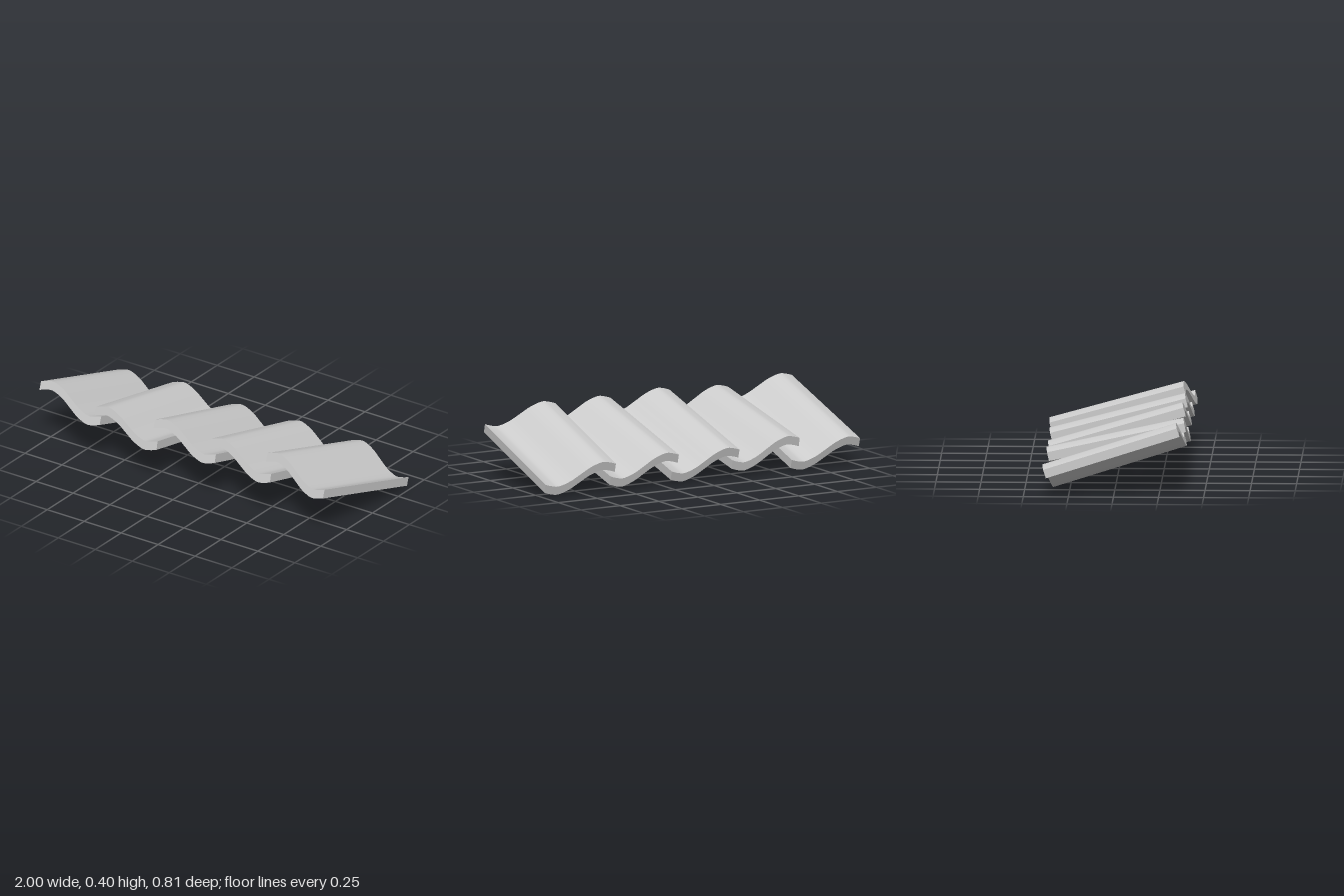
import * as THREE from 'three';
import { toCreasedNormals } from 'three/addons/utils/BufferGeometryUtils.js';

const LENGTH = 0.777;
const THICKNESS = 0.05;

// S-shaped cross-section: half the wave is given, the other half mirrors it through the centre
function tileGeometry() {
  const half = [[-0.212, 0.045], [-0.17, 0.058], [-0.125, 0.063], [-0.06, 0.039]];
  const points = [
    ...half,
    [0, 0],
    ...half.map(([x, y]) => [-x, -y]).reverse(),
  ].map(([x, y]) => new THREE.Vector2(x, y));
  const wave = new THREE.SplineCurve(points).getPoints(40);
  const offset = (dy) => wave.map((p) => new THREE.Vector2(p.x, p.y + dy));

  const shape = new THREE.Shape([
    ...offset(-THICKNESS / 2),
    ...offset(THICKNESS / 2).reverse(),
  ]);
  const geometry = new THREE.ExtrudeGeometry(shape, { depth: LENGTH, bevelEnabled: false });
  geometry.translate(0, 0, -LENGTH / 2);
  return toCreasedNormals(geometry, 0.6);
}

export function createModel() {
  const group = new THREE.Group();
  group.name = 'roofTileRow';
  const geometry = tileGeometry();
  const material = new THREE.MeshStandardMaterial({ color: 0xcccccc });

  // Each tile slopes down to the back, laid slightly unevenly
  const tiles = [
    { x: -0.787, z: 0.0, pitch: 17.6, yaw: 0.4 },
    { x: -0.4, z: 0.01, pitch: 12.2, yaw: 1.1 },
    { x: -0.012, z: 0.005, pitch: 16.2, yaw: 1.1 },
    { x: 0.373, z: 0.005, pitch: 14.7, yaw: 0 },
    { x: 0.762, z: 0.0, pitch: 16, yaw: -3.6 },
  ];
  tiles.forEach(({ x, z, pitch, yaw }, i) => {
    const tile = new THREE.Mesh(geometry, material);
    tile.name = `roofTile${i + 1}`;
    tile.position.set(x, 0.209, z);
    tile.rotation.set(
      THREE.MathUtils.degToRad(-pitch),
      THREE.MathUtils.degToRad(yaw),
      0,
      'YXZ'
    );
    group.add(tile);
  });
  return group;
}
